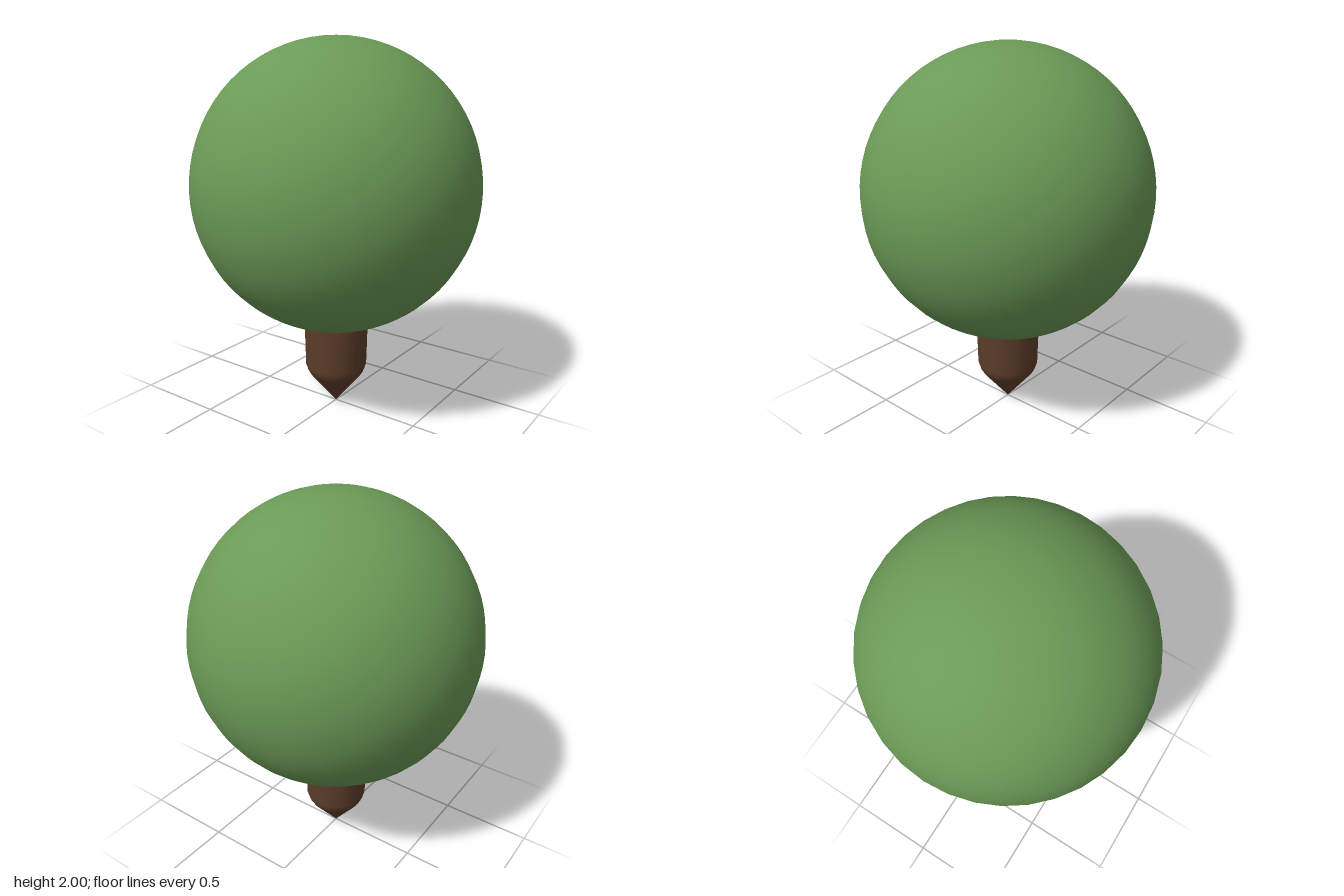
import * as THREE from 'three';

export function createModel() {
  const tree = new THREE.Group();
  tree.name = 'tree';

  const add = (name, geometry, color) => {
    const mesh = new THREE.Mesh(geometry, new THREE.MeshStandardMaterial({ color }));
    mesh.name = name;
    tree.add(mesh);
    return mesh;
  };

  // Round crown, very slightly taller than wide
  const crown = add('crown', new THREE.SphereGeometry(0.758, 36, 36), 0x6b9a56);
  crown.scale.y = 0.766 / 0.758;
  crown.position.y = 1.234;

  // Trunk: gently tapered shaft ending in a pointed root, top buried in the crown
  const profile = [
    [0, 0], [0.143, 0.175], [0.158, 0.2], [0.169, 0.235], [0.175, 0.47], [0.177, 0.56], [0, 0.56],
  ].map(([r, y]) => new THREE.Vector2(r, y));
  add('trunk', new THREE.LatheGeometry(profile, 24), 0x5c3d29);

  return tree;
}
